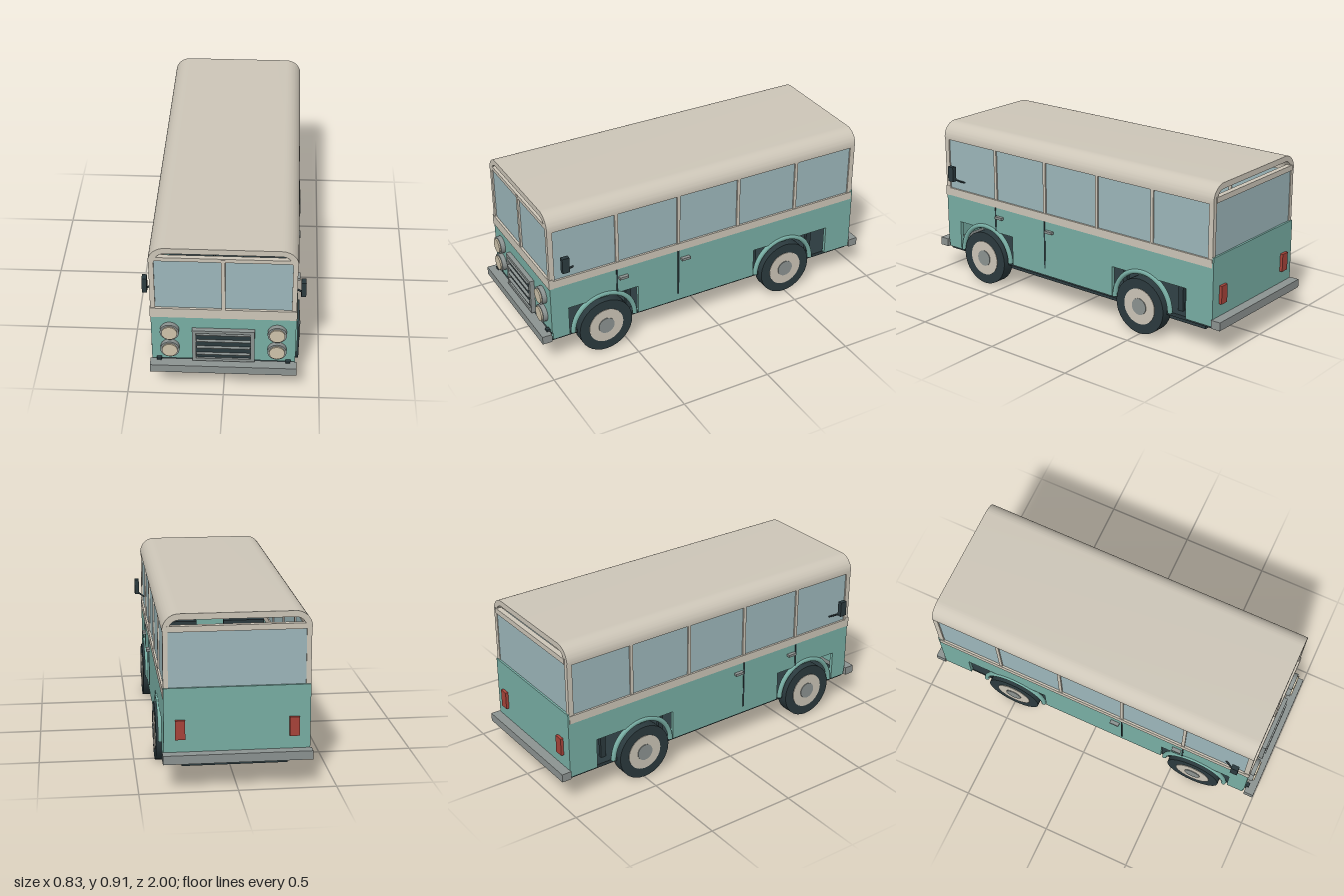
import * as THREE from 'three';
import { toCreasedNormals } from 'three/addons/utils/BufferGeometryUtils.js';

const mat = (color) => new THREE.MeshStandardMaterial({ color });

export function createModel() {
  const bus = new THREE.Group();
  bus.name = 'bus';
  const teal = mat(0x78aea4), cream = mat(0xcdc6b8), dark = mat(0x2b3a3e), grey = mat(0x8c9391);
  const glass = mat(0x9db7bb), red = mat(0xa8443a), lamp = mat(0xcfc4ab);

  const add = (name, geo, material, x = 0, y = 0, z = 0, parent = bus) => {
    const m = new THREE.Mesh(geo, material);
    m.name = name;
    m.position.set(x, y, z);
    parent.add(m);
    return m;
  };
  // Box given by its limits on each axis
  const box = (name, material, x0, x1, y0, y1, z0, z1) =>
    add(name, new THREE.BoxGeometry(Math.abs(x1 - x0), y1 - y0, z1 - z0), material,
      (x0 + x1) / 2, (y0 + y1) / 2, (z0 + z1) / 2);
  // Cylinder lying along x or z
  const disc = (name, material, r, h, axis, x, y, z) => {
    const g = new THREE.CylinderGeometry(r, r, h, 32);
    if (axis === 'x') g.rotateZ(Math.PI / 2); else g.rotateX(Math.PI / 2);
    return add(name, g, material, x, y, z);
  };

  // Floor and chassis
  box('floor', dark, -0.355, 0.355, 0.14, 0.16, -0.935, 0.935);
  box('chassis', dark, -0.272, 0.272, 0.08, 0.14, -0.84, 0.84);

  // Roof: arched shell, open at both ends
  const arch = new THREE.Shape();
  arch.moveTo(0.373, 0.82);
  arch.absarc(0.288, 0.822, 0.085, 0, Math.PI / 2);
  arch.absarc(-0.288, 0.822, 0.085, Math.PI / 2, Math.PI);
  arch.lineTo(-0.373, 0.82);
  arch.lineTo(-0.343, 0.82);
  arch.absarc(-0.288, 0.82, 0.055, Math.PI, Math.PI / 2, true);
  arch.absarc(0.288, 0.82, 0.055, Math.PI / 2, 0, true);
  arch.closePath();
  const roof = new THREE.ExtrudeGeometry(arch, { depth: 1.88, bevelEnabled: false, curveSegments: 12 });
  add('roof', toCreasedNormals(roof, 0.6), cream, 0, 0, -0.94);

  // Lower side panel with two wheel openings, drawn in z and y
  const side = new THREE.Shape([
    [-0.935, 0.155], [-0.78, 0.155], [-0.78, 0.325], [-0.295, 0.325], [-0.295, 0.155],
    [0.43, 0.155], [0.43, 0.325], [0.84, 0.325], [0.84, 0.155], [0.935, 0.155],
    [0.935, 0.48], [-0.935, 0.48],
  ].map(([z, y]) => new THREE.Vector2(z, y)));
  const sideGeo = new THREE.ExtrudeGeometry(side, { depth: 0.02, bevelEnabled: false }).rotateY(-Math.PI / 2);
  const wheelZ = [0.635, -0.495];
  const pillarZ = [0.925, 0.55, 0.183, -0.187, -0.555, -0.925];

  for (const s of [1, -1]) {
    add('sidePanel', sideGeo, teal, s > 0 ? 0.37 : -0.35);
    box('sideBelt', cream, s * 0.345, s * 0.373, 0.475, 0.52, -0.938, 0.938);
    box('sideTopRail', cream, s * 0.345, s * 0.37, 0.81, 0.83, -0.938, 0.938);
    box('sideGlass', glass, s * 0.352, s * 0.362, 0.515, 0.815, -0.925, 0.925);
    pillarZ.forEach((z, i) => {
      const w = i === 0 || i === 5 ? 0.014 : 0.009;
      box('windowPillar', cream, s * 0.345, s * 0.37, 0.515, 0.825, z - w, z + w);
    });

    // Wheels and half-round arches
    for (const z of wheelZ) {
      disc('tyre', dark, 0.155, 0.07, 'x', s * 0.354, 0.155, z);
      disc('wheelRim', cream, 0.1, 0.076, 'x', s * 0.354, 0.155, z);
      disc('hubCap', grey, 0.046, 0.084, 'x', s * 0.354, 0.155, z);
      add('wheelArch', new THREE.TorusGeometry(0.183, 0.014, 8, 32, Math.PI).rotateY(Math.PI / 2),
        teal, s * 0.366, 0.16, z);
    }

    // Door seams and handles
    box('doorSeam', dark, s * 0.365, s * 0.373, 0.33, 0.475, 0.551, 0.559);
    box('doorSeam', dark, s * 0.365, s * 0.373, 0.195, 0.475, 0.181, 0.189);
    for (const z of [0.52, 0.145]) box('doorHandle', grey, s * 0.368, s * 0.39, 0.413, 0.427, z - 0.026, z + 0.026);

    // Mirrors on bent arms
    box('mirror', dark, s * 0.39, s * 0.415, 0.578, 0.665, 0.842, 0.882);
    const arm = new THREE.LineCurve3(new THREE.Vector3(s * 0.36, 0.568, 0.8), new THREE.Vector3(s * 0.402, 0.59, 0.862));
    add('mirrorArm', new THREE.TubeGeometry(arm, 1, 0.005, 8), dark);

    // Headlights
    for (const y of [0.388, 0.275]) {
      disc('headlightRing', grey, 0.049, 0.03, 'z', s * 0.275, y, 0.95);
      disc('headlight', lamp, 0.04, 0.04, 'z', s * 0.275, y, 0.953);
    }

    // Tail lights, bumper brackets, corner posts
    box('tailLight', red, s * 0.263, s * 0.313, 0.265, 0.365, -0.963, -0.94);
    box('bumperBracket', dark, s * 0.32, s * 0.345, 0.16, 0.207, 0.9, 0.96);
    box('frontPost', cream, s * 0.345, s * 0.37, 0.52, 0.83, 0.915, 0.94);
    box('rearPost', cream, s * 0.345, s * 0.37, 0.52, 0.83, -0.94, -0.915);

    // Seats
    for (const z of [0.365, -0.06, -0.43, -0.8]) {
      box('seatCushion', dark, s * 0.08, s * 0.32, 0.31, 0.345, z + 0.01, z + 0.22);
      box('seatBack', dark, s * 0.08, s * 0.32, 0.31, 0.525, z - 0.02, z + 0.02);
      for (const x of [0.1, 0.3]) box('seatLeg', dark, s * (x - 0.01), s * (x + 0.01), 0.16, 0.31, z + 0.08, z + 0.11);
    }
  }

  // Front end
  box('frontPanel', teal, -0.37, 0.37, 0.195, 0.475, 0.92, 0.94);
  box('frontBelt', cream, -0.373, 0.373, 0.473, 0.53, 0.92, 0.945);
  box('windscreen', glass, -0.348, 0.348, 0.525, 0.83, 0.922, 0.932);
  box('windscreenDivider', cream, -0.01, 0.01, 0.53, 0.845, 0.92, 0.942);
  box('windscreenHeader', cream, -0.35, 0.35, 0.828, 0.85, 0.915, 0.94);
  box('frontBumper', grey, -0.378, 0.378, 0.15, 0.196, 0.945, 1);

  // Grille: frame, dark inset and slats
  const frame = new THREE.Shape([[-0.16, 0.203], [0.16, 0.203], [0.16, 0.404], [-0.16, 0.404]]
    .map(([x, y]) => new THREE.Vector2(x, y)));
  frame.holes.push(new THREE.Path([[-0.14, 0.22], [-0.14, 0.388], [0.14, 0.388], [0.14, 0.22]]
    .map(([x, y]) => new THREE.Vector2(x, y))));
  add('grilleFrame', new THREE.ExtrudeGeometry(frame, { depth: 0.03, bevelEnabled: false }), grey, 0, 0, 0.935);
  box('grilleInset', dark, -0.142, 0.142, 0.218, 0.39, 0.935, 0.955);
  for (let i = 0; i < 4; i++) {
    const y = 0.252 + i * 0.043;
    box('grilleSlat', grey, -0.138, 0.138, y - 0.002, y + 0.002, 0.95, 0.972);
  }

  // Rear end
  box('rearPanel', teal, -0.37, 0.37, 0.155, 0.53, -0.947, -0.925);
  box('rearGlass', glass, -0.35, 0.35, 0.525, 0.82, -0.936, -0.926);
  box('rearHeader', cream, -0.35, 0.35, 0.815, 0.845, -0.945, -0.915);
  box('rearBumper', grey, -0.378, 0.378, 0.15, 0.196, -1, -0.945);

  return bus;
}
